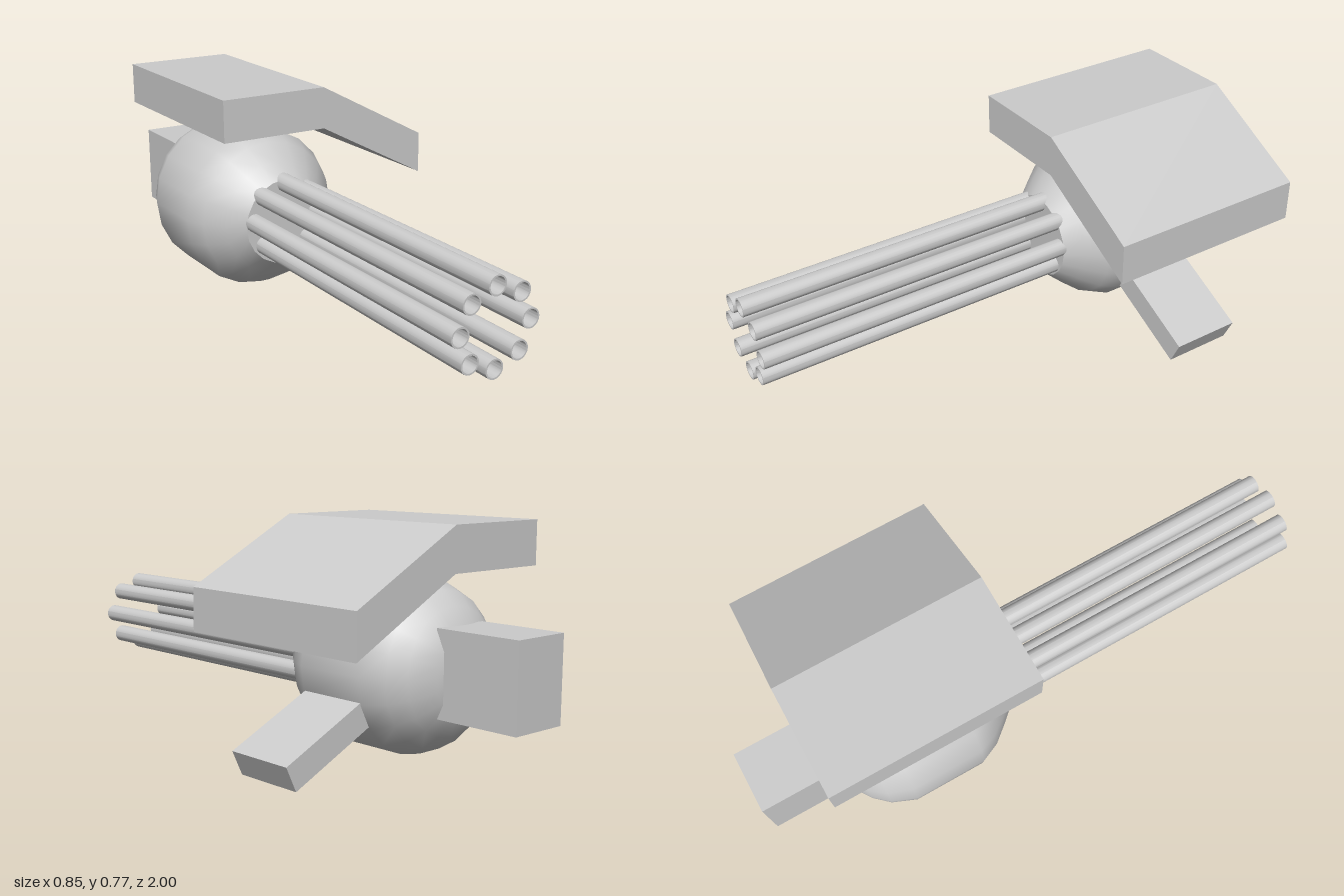
import * as THREE from 'three';
import { toCreasedNormals } from 'three/addons/utils/BufferGeometryUtils.js';

const grey = new THREE.MeshStandardMaterial({ color: 0xcccccc, side: THREE.DoubleSide });

function addMesh(parent, name, geometry) {
  const mesh = new THREE.Mesh(geometry, grey);
  mesh.name = name;
  parent.add(mesh);
  return mesh;
}

// Outline in x/y, extruded from z0 to z1
function slab(points, z0, z1) {
  const shape = new THREE.Shape(points.map(([x, y]) => new THREE.Vector2(x, y)));
  return new THREE.ExtrudeGeometry(shape, { depth: z1 - z0, bevelEnabled: false }).translate(0, 0, z0);
}

export function createModel() {
  const model = new THREE.Group();
  model.name = 'rotaryGun';

  // Rounded housing, turned around the z axis: [radius, z]
  const profile = [
    [0, -0.73], [0.13, -0.73], [0.205, -0.68], [0.25, -0.63], [0.283, -0.55],
    [0.283, -0.3], [0.254, -0.235], [0.2, -0.17], [0.15, -0.115], [0, -0.115],
  ].map(([r, z]) => new THREE.Vector2(r, z));
  const housing = new THREE.LatheGeometry(profile, 20).rotateX(Math.PI / 2);
  addMesh(model, 'housing', toCreasedNormals(housing, 0.6)).position.set(-0.142, 0.305, 0);

  // Ring of eight hollow barrels
  const barrels = new THREE.Group();
  barrels.name = 'barrels';
  barrels.position.set(-0.14, 0.32, 0);
  model.add(barrels);
  const wall = [[0.026, -0.25], [0.031, -0.25], [0.031, 1], [0.026, 1], [0.026, -0.25]]
    .map(([r, z]) => new THREE.Vector2(r, z));
  const barrel = toCreasedNormals(new THREE.LatheGeometry(wall, 20).rotateX(Math.PI / 2), 0.6);
  for (let i = 0; i < 8; i++) {
    const a = (i * Math.PI) / 4;
    addMesh(barrels, 'barrel', barrel).position.set(0.122 * Math.cos(a), 0.122 * Math.sin(a), 0);
  }

  // Bent shield plate above the housing
  addMesh(model, 'shield', slab([
    [-0.39, 0.625], [-0.012, 0.625], [0.388, 0.412],
    [0.388, 0.554], [-0.012, 0.767], [-0.39, 0.767],
  ], -0.79, -0.07));

  // Slanted side arm, rooted inside the housing
  addMesh(model, 'sideArm', slab([
    [0.045, 0.167], [0.387, 0], [0.425, 0.08], [0.083, 0.247],
  ], -0.55, -0.305));

  // Rear block
  addMesh(model, 'rearBlock', new THREE.BoxGeometry(0.21, 0.277, 0.3)).position.set(-0.145, 0.316, -0.85);

  return model;
}
